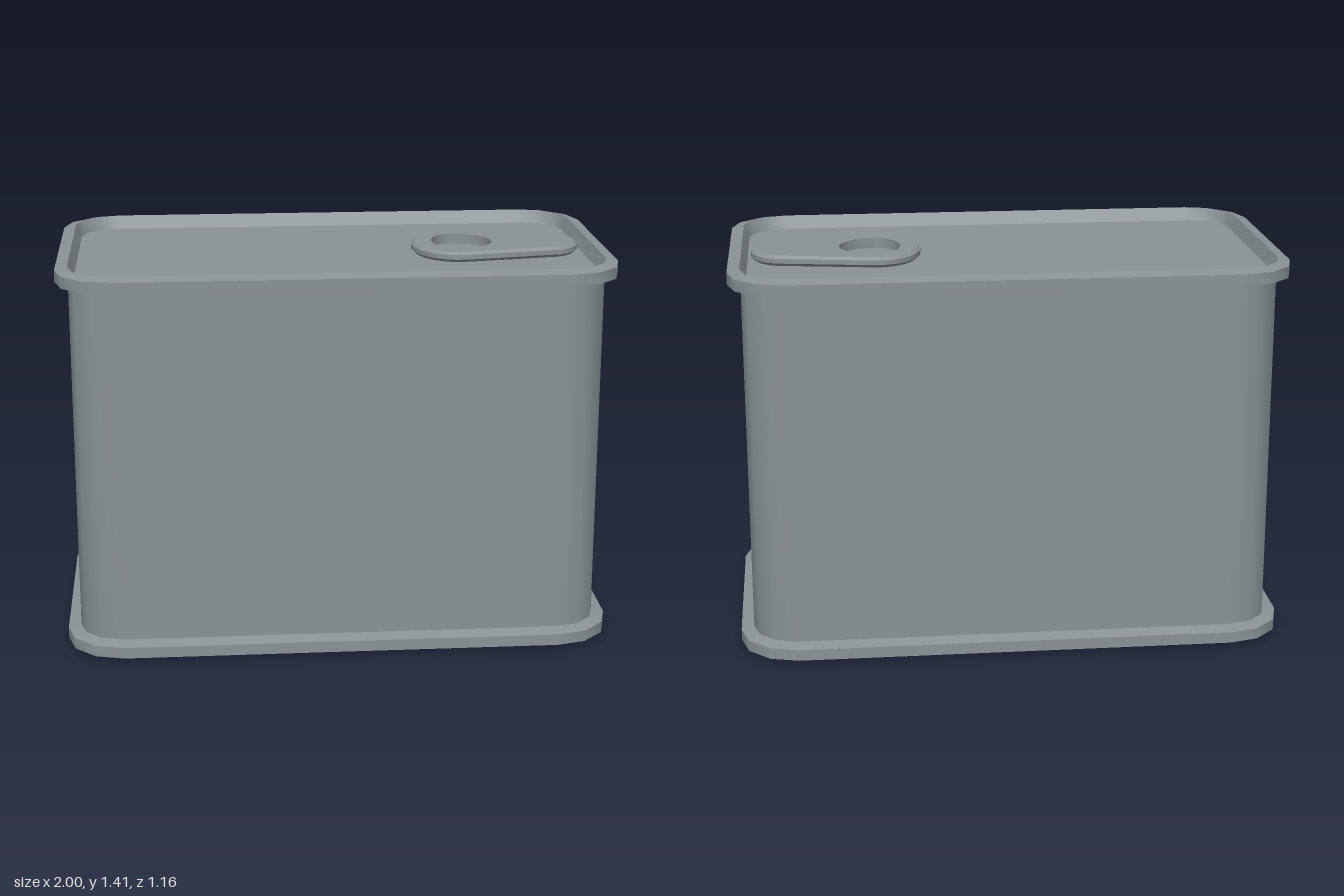
import * as THREE from 'three';

const metal = new THREE.MeshStandardMaterial({ color: 0x889295 });
metal.name = 'tin grey';

// Arc of [x, z] points, angles in degrees
function arc(cx, cz, rx, rz, from, to, steps) {
  return Array.from({ length: steps + 1 }, (_, i) => {
    const a = THREE.MathUtils.degToRad(from + ((to - from) * i) / steps);
    return [cx + rx * Math.cos(a), cz + rz * Math.sin(a)];
  });
}

// Rounded rectangle of the can, moved inwards by d
const canRing = (d) => [[1, 1], [-1, 1], [-1, -1], [1, -1]].flatMap(([sx, sz], i) =>
  arc(sx * 0.79, sz * 0.37, 0.21 - d, 0.21 - d, i * 90, i * 90 + 90, 3));

// Tapered outline of the pull tab, moved inwards by d
const tabRing = (d) => [
  ...arc(0.8, 0, 0.122 - d, 0.145 - d, -75, 75, 8),
  ...arc(0.46, 0, 0.16 - d, 0.203 - d, 80, 280, 12),
];

// Rounded finger hole, blunt on one side
const holeRing = () => [
  ...arc(0.46, 0, 0.14, 0.133, -90, 90, 12),
  ...arc(0.46, 0, 0.085, 0.133, 90, 270, 12).slice(1, -1),
];

// Closed wall between two rings; faces outwards when it rises
function band(name, lower, y0, upper, y1) {
  const n = lower.length, index = [];
  const pos = [...lower.map(([x, z]) => [x, y0, z]), ...upper.map(([x, z]) => [x, y1, z])].flat();
  for (let j = 0; j < n; j++) {
    const k = (j + 1) % n;
    index.push(j, n + j, n + k, j, n + k, k);
  }
  const g = new THREE.BufferGeometry();
  g.setAttribute('position', new THREE.Float32BufferAttribute(pos, 3));
  g.setIndex(index);
  g.computeVertexNormals();
  return named(name, g);
}

// Flat horizontal panel inside a ring, optionally with a hole
function panel(name, ring, y, up = true, hole) {
  const points = (r) => r.map(([x, z]) => new THREE.Vector2(x, z));
  const shape = new THREE.Shape(points(ring));
  if (hole) shape.holes.push(new THREE.Path(points(hole)));
  const g = new THREE.ShapeGeometry(shape);
  g.rotateX(up ? -Math.PI / 2 : Math.PI / 2);
  g.translate(0, y, 0);
  return named(name, g);
}

function named(name, geometry) {
  const mesh = new THREE.Mesh(geometry, metal);
  mesh.name = name;
  return mesh;
}

// Stack of sharp-edged bands following [inset, y] steps
function walls(name, ringAt, steps) {
  const group = new THREE.Group();
  group.name = name;
  for (let i = 1; i < steps.length; i++) {
    const [d0, y0] = steps[i - 1], [d1, y1] = steps[i];
    group.add(band(name + i, ringAt(d0), y0, ringAt(d1), y1));
  }
  return group;
}

export function createModel() {
  const can = new THREE.Group();
  can.name = 'tinCan';

  // Rolled rims and the straight body between them
  can.add(
    walls('bottomRim', canRing, [[0.065, 0.048], [0.045, 0], [0, 0.014], [0, 0.055], [0.047, 0.068]]),
    walls('body', canRing, [[0.047, 0.065], [0.047, 1.352]]),
    walls('topRim', canRing, [[0.047, 1.35], [0, 1.361], [0, 1.403], [0.045, 1.414], [0.065, 1.365]]),
  );

  // Recessed base and lid
  can.add(panel('base', canRing(0.065), 0.048, false), panel('lid', canRing(0.065), 1.365));

  // Pull tab with a bevelled edge and a finger hole
  const tab = new THREE.Group();
  tab.name = 'pullTab';
  tab.add(
    walls('tabEdge', tabRing, [[0.012, 1.367], [0, 1.378], [0, 1.395], [0.012, 1.405]]),
    panel('tabTop', tabRing(0.012), 1.405, true, holeRing()),
    panel('tabUnderside', tabRing(0.012), 1.367, false, holeRing()),
    band('tabHole', holeRing(), 1.405, holeRing(), 1.367),
  );
  can.add(tab);
  return can;
}
